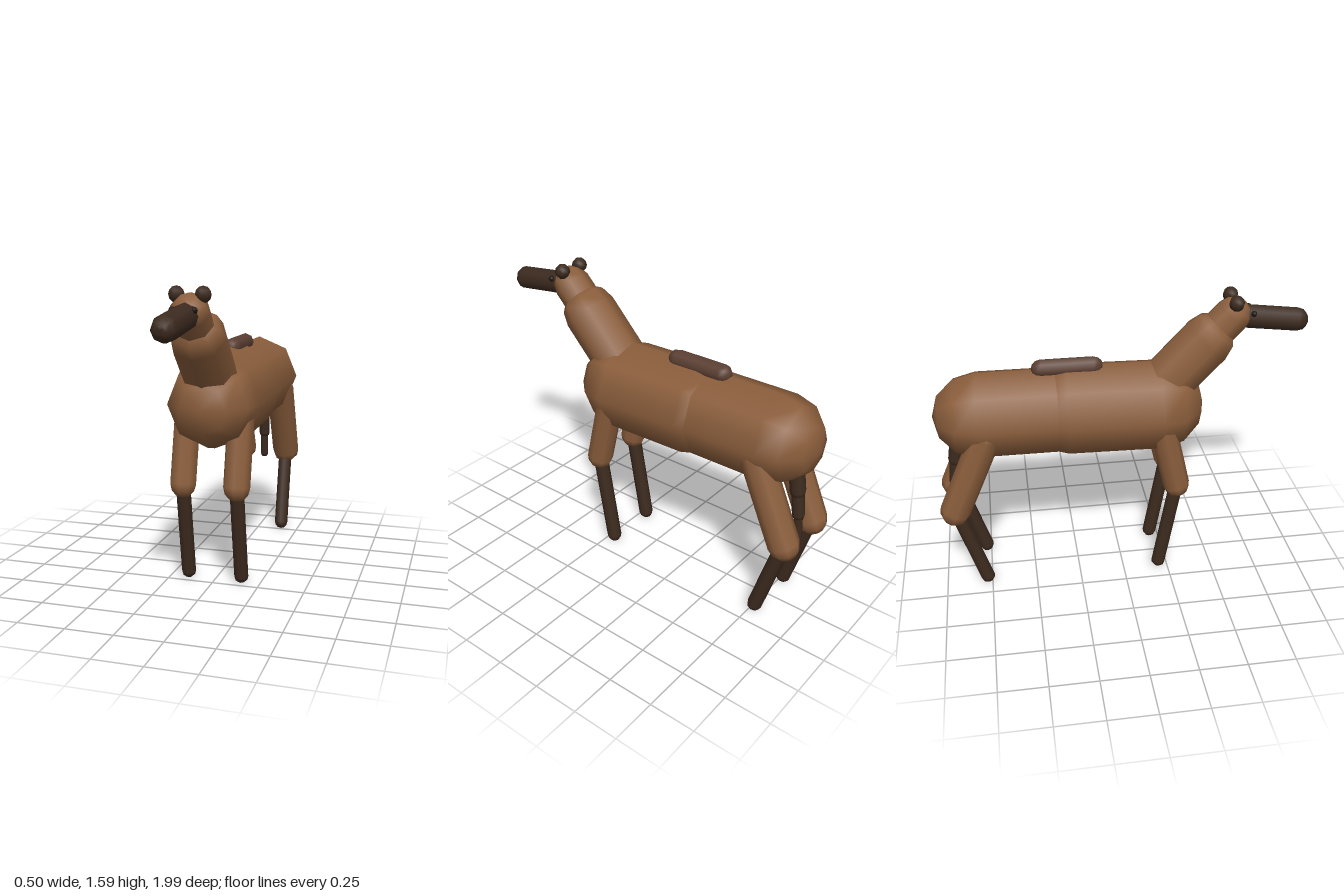
import * as THREE from 'three';

const mat = (name, color) => Object.assign(new THREE.MeshStandardMaterial({ color }), { name });

export function createModel() {
  const coat = mat('brown coat', 0x8b5e3c);
  const dark = mat('dark brown points', 0x3d2b1f);
  const ridge = mat('reddish brown ridge', 0x5c4033);
  const eyeBlack = mat('eye black', 0x1f1712);

  const model = new THREE.Group();
  model.name = 'animal';
  const up = new THREE.Vector3(0, 1, 0);

  // Eight-sided capsule whose end spheres are centred on points a and b
  function limb(name, a, b, radius, material) {
    const start = new THREE.Vector3(...a), end = new THREE.Vector3(...b);
    const axis = end.clone().sub(start);
    const mesh = new THREE.Mesh(new THREE.CapsuleGeometry(radius, axis.length(), 3, 8), material);
    mesh.name = name;
    mesh.position.copy(start).add(end).multiplyScalar(0.5);
    mesh.quaternion.setFromUnitVectors(up, axis.normalize());
    model.add(mesh);
  }

  function ball(name, position, radius, material) {
    const mesh = new THREE.Mesh(new THREE.SphereGeometry(radius, 8, 6), material);
    mesh.name = name;
    mesh.position.set(...position);
    model.add(mesh);
  }

  // Trunk
  limb('chest', [0, 0.98, 0.2], [0, 0.99, -0.29], 0.25, coat);
  limb('hindquarters', [0, 0.99, -0.29], [0, 0.993, -0.755], 0.235, coat);
  limb('backRidge', [0, 1.23, -0.14], [0, 1.23, -0.415], 0.05, ridge);

  // Neck and head
  limb('neck', [0, 1.06, 0.2], [0, 1.335, 0.46], 0.145, coat);
  limb('head', [0, 1.335, 0.46], [0, 1.465, 0.585], 0.1, coat);
  limb('muzzle', [0, 1.465, 0.585], [0, 1.422, 0.93], 0.065, dark);
  ball('nose', [0, 1.425, 0.974], 0.024, dark);

  // Paired parts
  for (const [side, s] of [['left', 1], ['right', -1]]) {
    ball(side + 'Ear', [s * 0.066, 1.553, 0.588], 0.041, dark);
    ball(side + 'Eye', [s * 0.055, 1.487, 0.685], 0.016, eyeBlack);

    limb(side + 'FrontThigh', [s * 0.145, 0.93, 0.203], [s * 0.146, 0.55, 0.29], 0.072, coat);
    limb(side + 'FrontShin', [s * 0.146, 0.55, 0.29], [s * 0.148, 0.04, 0.2], 0.04, dark);

    limb(side + 'HindThigh', [s * 0.14, 0.93, -0.722], [s * 0.14, 0.49, -0.912], 0.083, coat);
    limb(side + 'HindShin', [s * 0.14, 0.49, -0.912], [s * 0.147, 0.04, -0.775], 0.04, dark);
  }

  // Tail in three narrowing sections
  const tail = [[0, 0.86, -0.87], [0, 0.73, -0.89], [0, 0.595, -0.905], [0, 0.455, -0.91]];
  [0.042, 0.034, 0.024].forEach((r, i) => limb('tailSection' + (i + 1), tail[i], tail[i + 1], r, dark));

  return model;
}
